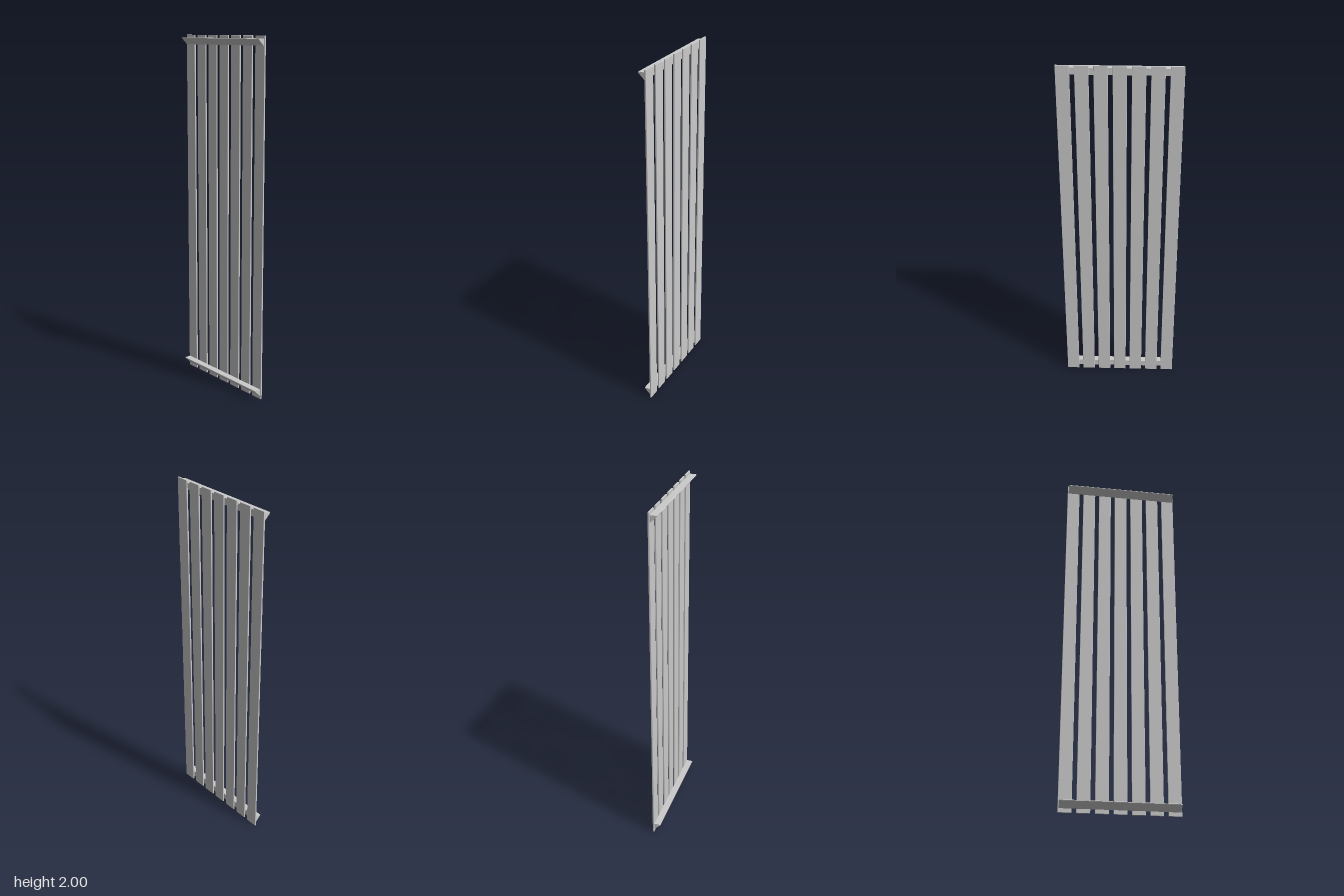
import * as THREE from 'three';
import { RoundedBoxGeometry } from 'three/addons/geometries/RoundedBoxGeometry.js';

export function createModel() {
  const group = new THREE.Group();
  const material = new THREE.MeshStandardMaterial({ color: 0xcccccc });

  // Seven thin upright slats with slightly softened edges
  const slatGeometry = new RoundedBoxGeometry(0.072, 2, 0.009, 1, 0.0015);
  for (let i = 0; i < 7; i++) {
    const slat = new THREE.Mesh(slatGeometry, material);
    slat.name = `slat${i + 1}`;
    slat.position.set((i - 3) * 0.0965, 1, -0.0195);
    group.add(slat);
  }

  // Triangular rail section (z, y): flat top, blunted nose, sloping underside
  const section = new THREE.Shape([
    [-0.0155, 0], [-0.0155, -0.037], [-0.012, -0.037],
    [0.0215, -0.005], [0.0225, -0.0025], [0.021, 0],
  ].map(([z, y]) => new THREE.Vector2(-z, y)));
  const length = 0.641;
  const railGeometry = new THREE.ExtrudeGeometry(section, { depth: length, bevelEnabled: false });
  railGeometry.translate(0, 0, -length / 2);
  railGeometry.rotateY(Math.PI / 2); // section axis -z becomes depth, extrusion runs along x

  // Cross rails near the bottom and top
  [['bottomRail', 0.0585], ['topRail', 1.985]].forEach(([name, y]) => {
    const rail = new THREE.Mesh(railGeometry, material);
    rail.name = name;
    rail.position.y = y;
    group.add(rail);
  });

  return group;
}
